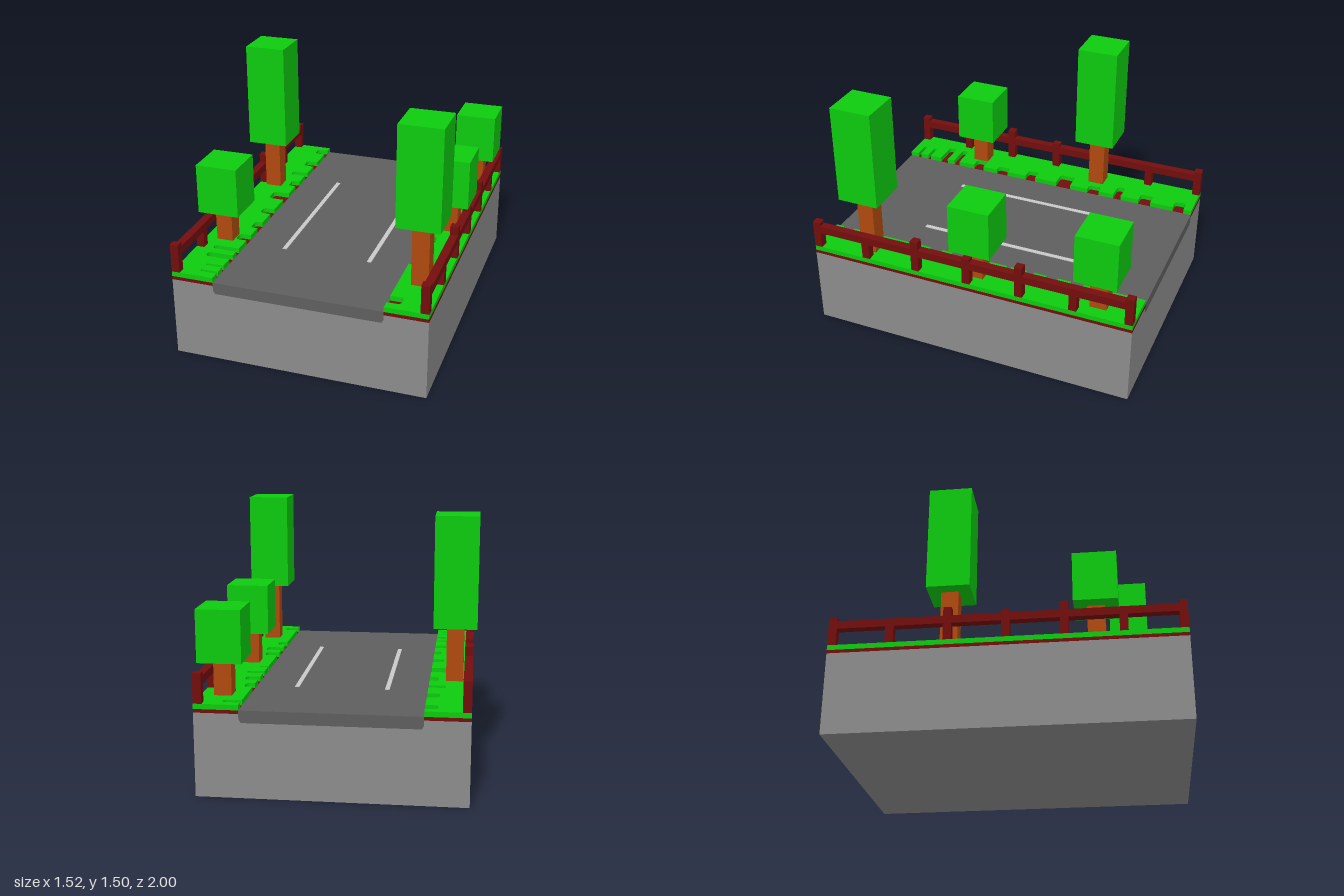
import * as THREE from 'three';

const material = (name, color) => {
  const m = new THREE.MeshStandardMaterial({ color });
  m.name = name;
  return m;
};

export function createModel() {
  const concrete = material('concrete grey', 0x8b8b8b);
  const asphalt = material('asphalt grey', 0x5e5e5e);
  const paint = material('road paint', 0xc8c8c8);
  const leaf = material('grass green', 0x0dcb0f);
  const darkRed = material('dark red', 0x730d0d);
  const bark = material('bark brown', 0xb04a0e);

  const model = new THREE.Group();
  model.name = 'roadSection';

  const add = (parent, name, geometry, mat) => {
    const mesh = new THREE.Mesh(geometry, mat);
    mesh.name = name;
    parent.add(mesh);
    return mesh;
  };
  // Box given by its lower and upper corners
  const box = (parent, name, mat, [x0, y0, z0], [x1, y1, z1]) => {
    const mesh = add(parent, name, new THREE.BoxGeometry(x1 - x0, y1 - y0, z1 - z0), mat);
    mesh.position.set((x0 + x1) / 2, (y0 + y1) / 2, (z0 + z1) / 2);
    return mesh;
  };
  const group = (name) => {
    const g = new THREE.Group();
    g.name = name;
    model.add(g);
    return g;
  };
  const shapeOf = (points) => new THREE.Shape(points.map(([x, y]) => new THREE.Vector2(x, y)));
  // Cross-section run along the whole length of the road
  const alongRoad = (points) =>
    new THREE.ExtrudeGeometry(shapeOf(points), { depth: 2, bevelEnabled: false }).translate(0, 0, -1);

  // Foundation with a trench that holds the road slab
  const trench = [[-0.49, 0.45], [-0.478, 0.43], [0.498, 0.43], [0.51, 0.45]];
  add(model, 'foundation', alongRoad([
    [-0.74, 0], [0.76, 0], [0.76, 0.48], [0.51, 0.48],
    ...[...trench].reverse(),
    [-0.49, 0.48], [-0.74, 0.48],
  ]), concrete);
  add(model, 'road', alongRoad([...trench, [0.51, 0.5], [-0.49, 0.5]]), asphalt);

  // Lane lines
  for (const x of [-0.253, 0.273])
    box(model, 'laneLine', paint, [x - 0.013, 0.499, -0.5], [x + 0.013, 0.504, 0.5]);

  // Notches in the grass edge: start z, end z, inner x
  const verges = [
    {
      name: 'right', outer: -0.74, inner: -0.49,
      notches: [
        [-0.95, -0.88, -0.56], [-0.73, -0.65, -0.56], [-0.53, -0.48, -0.59], [-0.38, -0.3, -0.54],
        [-0.18, -0.08, -0.59], [0.07, 0.14, -0.56], [0.27, 0.35, -0.535], [0.45, 0.52, -0.56],
        [0.63, 0.67, -0.64], [0.72, 0.77, -0.64], [0.85, 0.87, -0.59], [0.925, 0.945, -0.59],
      ],
    },
    {
      name: 'left', outer: 0.76, inner: 0.51,
      notches: [
        [-0.95, -0.905, 0.61], [-0.63, -0.555, 0.56], [-0.475, -0.405, 0.59], [-0.325, -0.28, 0.61],
        [-0.18, -0.155, 0.56], [0.125, 0.2, 0.59], [0.27, 0.345, 0.61], [0.42, 0.495, 0.56],
        [0.875, 0.945, 0.59],
      ],
    },
  ];

  for (const { name, outer, inner, notches } of verges) {
    const side = Math.sign(outer);
    const verge = group(name + 'Verge');
    const [x0, x1] = [Math.min(outer, inner), Math.max(outer, inner)];
    box(verge, 'soil', darkRed, [x0, 0.48, -1], [x1, 0.5, 1]);

    // Grass slab with notches whose inner corners are clipped
    const outline = [[outer, -1], [inner, -1]];
    for (const [z0, z1, x] of notches) {
      const c = Math.min(0.012, (z1 - z0) / 4);
      const xc = x - side * c;
      outline.push([inner, z0], [xc, z0], [x, z0 + c], [x, z1 - c], [xc, z1], [inner, z1]);
    }
    outline.push([inner, 1], [outer, 1]);
    const grass = new THREE.ExtrudeGeometry(shapeOf(outline), { depth: 0.03, bevelEnabled: false });
    add(verge, 'grass', grass.rotateX(Math.PI / 2).translate(0, 0.53, 0), leaf);

    // Fence: one rail and seven posts of varied height
    const fence = group(name + 'Fence');
    const f0 = side > 0 ? 0.712 : -0.74;
    const f1 = f0 + 0.048;
    box(fence, 'rail', darkRed, [f0, 0.63, -0.96], [f1, 0.677, 0.96]);
    [0.7, 0.64, 0.73, 0.7, 0.73, 0.64, 0.7].forEach((top, i) => {
      const z = (i - 3) * 0.3255;
      box(fence, 'post', darkRed, [f0, 0.53, z - 0.0235], [f1, top, z + 0.0235]);
    });
  }

  // Trees: x, z, crown bottom, crown top
  for (const [x, z, bottom, top] of [
    [0.635, 0.675, 0.905, 1.5],
    [0.635, -0.025, 0.73, 1.03],
    [0.635, -0.775, 0.73, 1.03],
    [-0.615, 0.5, 0.73, 1.03],
    [-0.635, -0.325, 0.855, 1.5],
  ]) {
    const tree = group('tree');
    box(tree, 'trunk', bark, [x - 0.05, 0.52, z - 0.05], [x + 0.05, bottom + 0.02, z + 0.05]);
    box(tree, 'crown', leaf, [x - 0.125, bottom, z - 0.125], [x + 0.125, top, z + 0.125]);
  }

  return model;
}
